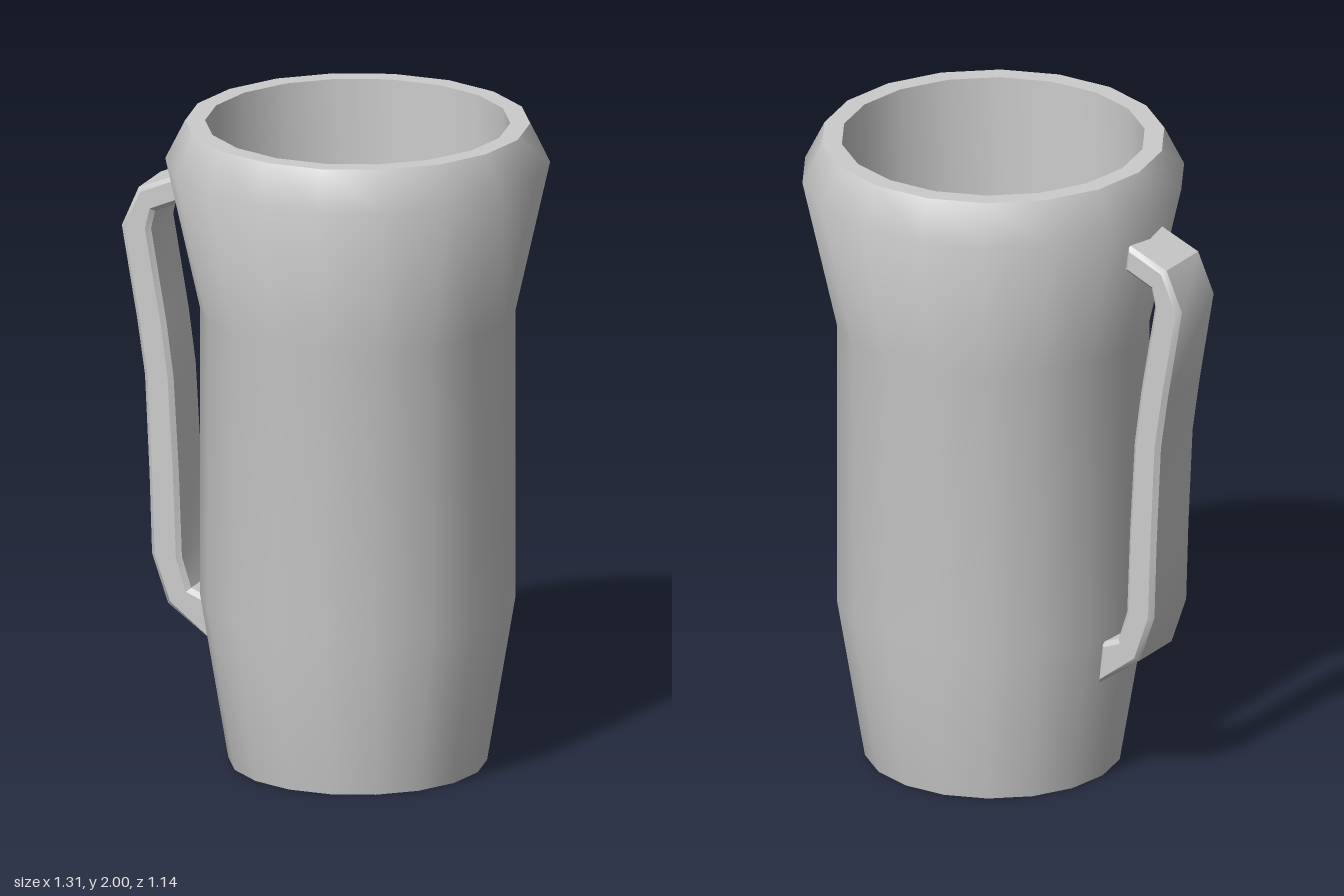
import * as THREE from 'three';
import { toCreasedNormals } from 'three/addons/utils/BufferGeometryUtils.js';

const points = (list) => list.map(([x, y]) => new THREE.Vector2(x, y));

export function createModel() {
  const group = new THREE.Group();
  group.name = 'mug';
  const material = new THREE.MeshStandardMaterial({ color: 0xcccccc });

  function add(name, geometry, crease) {
    const mesh = new THREE.Mesh(toCreasedNormals(geometry, crease), material);
    mesh.name = name;
    group.add(mesh);
    return mesh;
  }

  // Hollow cup: base, tapered foot, straight waist, flared collar, rim, inner wall, floor
  const profile = points([
    [0, 0], [0.39, 0], [0.475, 0.51], [0.475, 1.41], [0.58, 1.88], [0.52, 2],
    [0.46, 2], [0.44, 0.45], [0, 0.45],
  ]);
  const cup = add('cup', new THREE.LatheGeometry(profile, 18, Math.PI / 2), 0.9);
  cup.position.x = 0.075;

  // Handle: side outline, outer edge downwards and inner edge back up
  const outline = new THREE.Shape(points([
    [-0.465, 1.8], [-0.6, 1.745], [-0.655, 1.62], [-0.605, 1.33], [-0.58, 1.16],
    [-0.565, 0.85], [-0.557, 0.6], [-0.505, 0.45], [-0.36, 0.345],
    [-0.37, 0.48], [-0.43, 0.505], [-0.46, 0.6], [-0.47, 0.87],
    [-0.487, 1.16], [-0.51, 1.33], [-0.56, 1.62], [-0.547, 1.675], [-0.455, 1.715],
  ]));
  const bevel = 0.014;
  const handle = new THREE.ExtrudeGeometry(outline, {
    depth: 0.206 - 2 * bevel,
    bevelThickness: bevel,
    bevelSize: bevel,
    bevelOffset: -bevel,
    bevelSegments: 1,
  });
  handle.translate(0, 0, bevel - 0.103);
  add('handle', handle, 0.6);

  return group;
}
